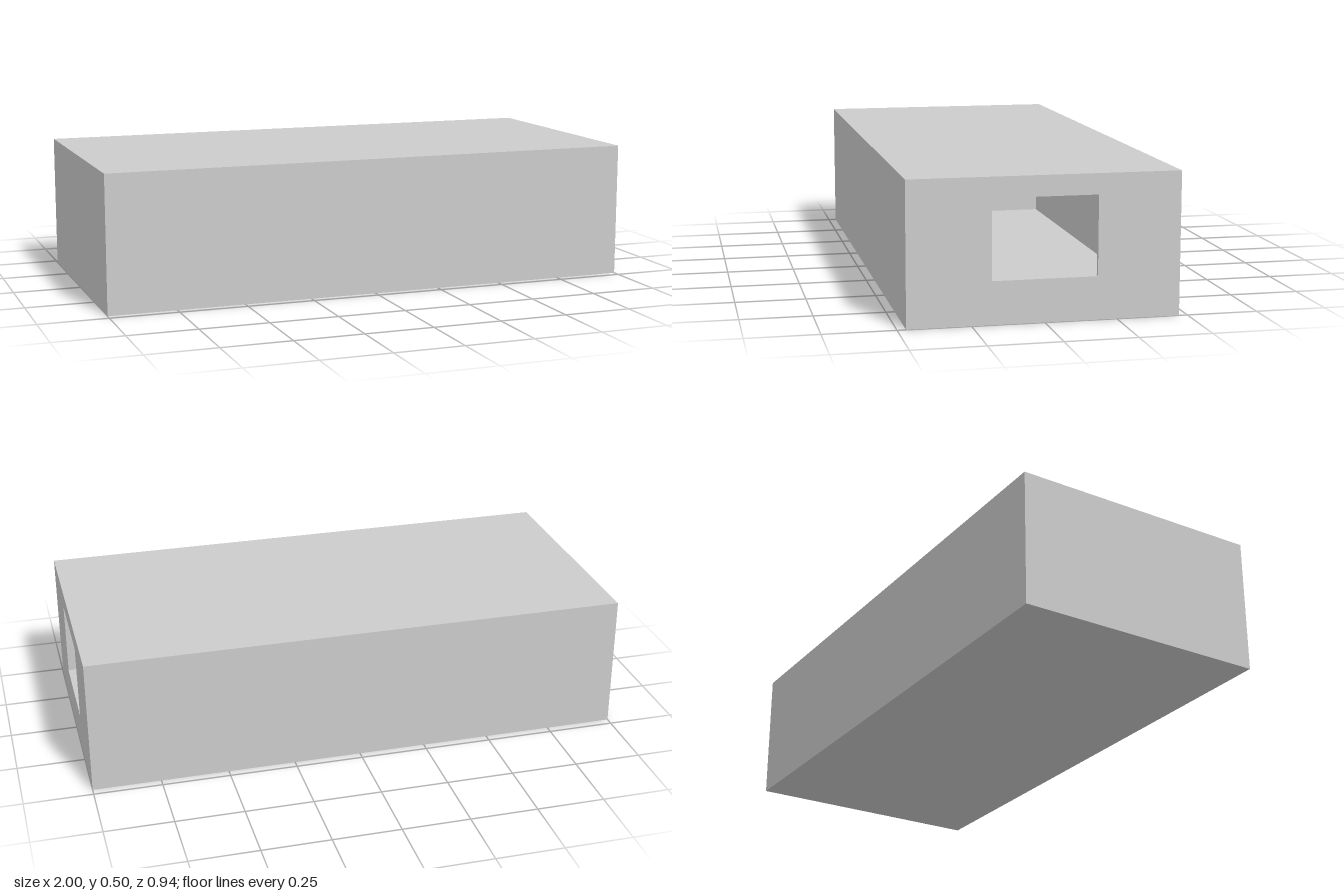
import * as THREE from 'three';
import { mergeGeometries } from 'three/addons/utils/BufferGeometryUtils.js';

const LENGTH = 2, HEIGHT = 0.5, DEPTH = 0.94, WALL = 0.015;
const WINDOW = { halfWidth: 0.182, bottom: 0.15, top: 0.428, radius: 0.005 };

// Rounded rectangle of the end opening, drawn anticlockwise
function windowOutline(PathType) {
  const { halfWidth: w, bottom: b, top: t, radius: r } = WINDOW;
  const path = new PathType();
  path.moveTo(-w + r, b);
  path.absarc(w - r, b + r, r, -Math.PI / 2, 0);
  path.absarc(w - r, t - r, r, 0, Math.PI / 2);
  path.absarc(-w + r, t - r, r, Math.PI / 2, Math.PI);
  path.absarc(-w + r, b + r, r, Math.PI, Math.PI * 1.5);
  path.closePath();
  return path;
}

// Keep positions only, optionally turned inside out, with flat normals
function faces(source, inward, firstVertex = 0) {
  const flat = source.index ? source.toNonIndexed() : source;
  const p = flat.attributes.position.array.slice(firstVertex * 3);
  if (inward) {
    for (let i = 0; i < p.length; i += 9) {
      for (let k = 3; k < 6; k++) [p[i + k], p[i + k + 3]] = [p[i + k + 3], p[i + k]];
    }
  }
  const geometry = new THREE.BufferGeometry();
  geometry.setAttribute('position', new THREE.BufferAttribute(p, 3));
  geometry.computeVertexNormals();
  return geometry;
}

// Box skin, inset from the outside, whose +x end has the window cut out
function skin(inset, inward) {
  const l = LENGTH - 2 * inset, h = HEIGHT - 2 * inset, d = DEPTH - 2 * inset;
  const box = new THREE.BoxGeometry(l, h, d).translate(0, HEIGHT / 2, 0);
  const end = new THREE.Shape([
    new THREE.Vector2(-d / 2, inset), new THREE.Vector2(d / 2, inset),
    new THREE.Vector2(d / 2, HEIGHT - inset), new THREE.Vector2(-d / 2, HEIGHT - inset),
  ]);
  end.holes.push(windowOutline(THREE.Path));
  const endFace = new THREE.ShapeGeometry(end, 4).rotateY(Math.PI / 2).translate(l / 2, 0, 0);
  // the first six box vertices are the plain +x end
  return [faces(box, inward, 6), faces(endFace, inward)];
}

// Edge of the opening through the wall thickness (sides of an extrusion, no caps)
function windowRim() {
  const plug = new THREE.ExtrudeGeometry(windowOutline(THREE.Shape), {
    depth: WALL, bevelEnabled: false, curveSegments: 4,
  });
  const sideStart = plug.groups[1].start;
  plug.rotateY(Math.PI / 2).translate(LENGTH / 2 - WALL, 0, 0);
  return faces(plug, true, sideStart);
}

export function createModel() {
  const group = new THREE.Group();
  group.name = 'hollowBox';
  const material = new THREE.MeshStandardMaterial({ color: 0xcccccc, flatShading: true });
  const add = (name, geometry) => {
    const mesh = new THREE.Mesh(geometry, material);
    mesh.name = name;
    group.add(mesh);
  };
  add('outerShell', mergeGeometries(skin(0, false)));
  add('innerCavity', mergeGeometries(skin(WALL, true)));
  add('windowRim', windowRim());
  return group;
}
